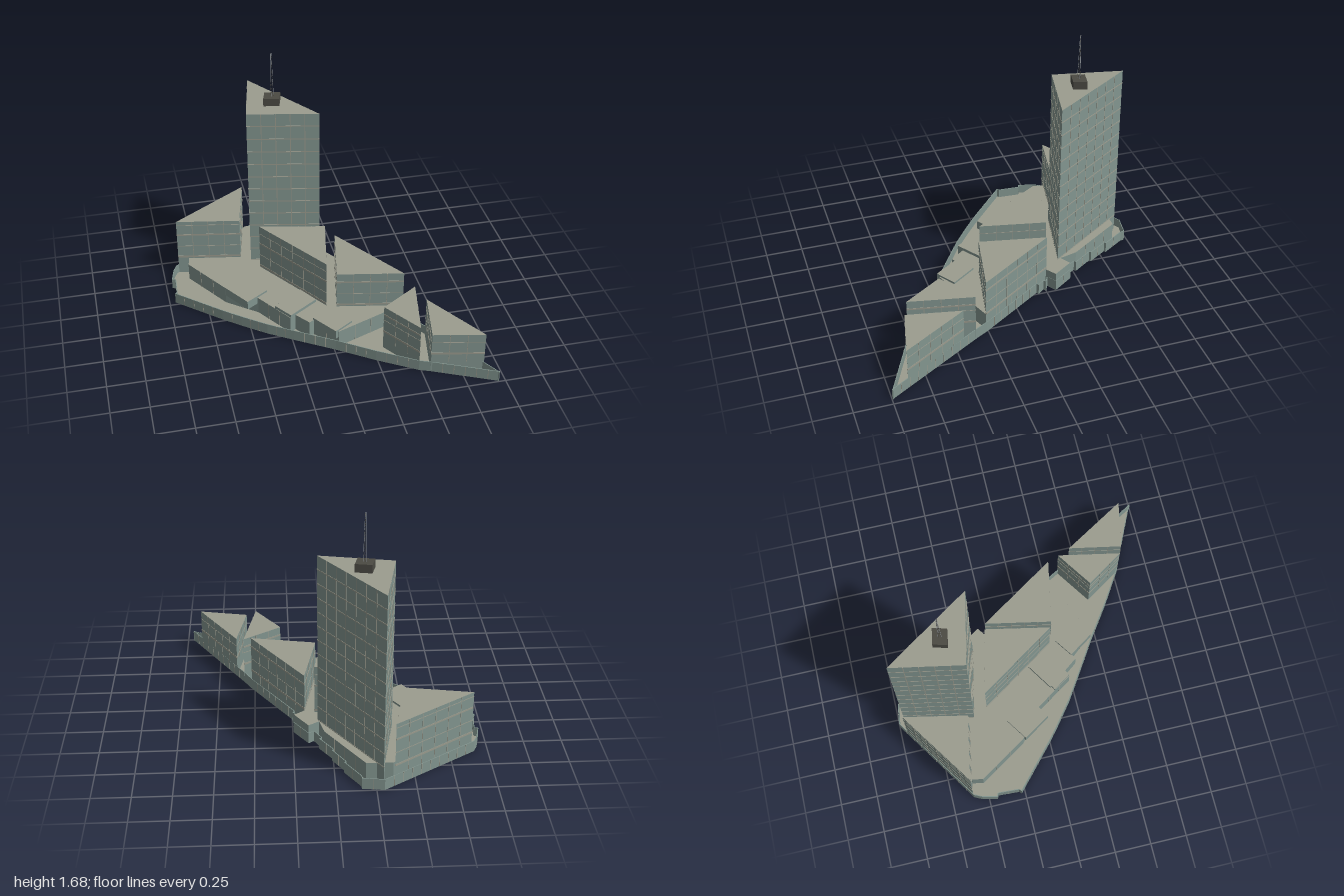
import * as THREE from 'three';
import { mergeGeometries } from 'three/addons/utils/BufferGeometryUtils.js';

export function createModel() {
  const model = new THREE.Group();
  model.name = 'towerComplex';
  const mat = (name, color) => {
    const m = new THREE.MeshStandardMaterial({ color });
    m.name = name;
    return m;
  };
  const concrete = mat('concrete', 0x9b9c8f);
  const glass = mat('glass', 0x82958f);
  const dark = mat('darkMetal', 0x4b4a43);
  const steel = mat('mastSteel', 0x9aa0a6);

  const add = (name, geometry, material) => {
    const mesh = new THREE.Mesh(geometry, material);
    mesh.name = name;
    model.add(mesh);
    return mesh;
  };

  // Plan points are [x, z]; they become counter-clockwise shape points (x, -z).
  const outline = (plan) => {
    const pts = plan.map(([x, z]) => new THREE.Vector2(x, -z));
    return THREE.ShapeUtils.isClockWise(pts) ? pts.reverse() : pts;
  };

  // Vertical block with concrete caps and walls of the given material.
  const prism = (name, plan, y0, y1, walls = glass, caps = concrete) => {
    const geo = new THREE.ExtrudeGeometry(new THREE.Shape(outline(plan)), { depth: y1 - y0, bevelEnabled: false });
    geo.rotateX(-Math.PI / 2).translate(0, y0, 0);
    return add(name, geo, [caps, walls]);
  };

  // Thin panel on the edge a-b, from t0 to t1 along it, with its middle at offset out.
  const panel = (a, b, t0, t1, y0, y1, thick, out) => {
    const length = a.distanceTo(b);
    const g = new THREE.BoxGeometry(t1 - t0, y1 - y0, thick);
    g.translate((t0 + t1) / 2, (y0 + y1) / 2, out);
    g.rotateY(Math.atan2((b.y - a.y) / length, (b.x - a.x) / length));
    return g.translate(a.x, 0, -a.y);
  };

  const eachEdge = (plan, fn) => {
    const pts = outline(plan);
    pts.forEach((a, i) => fn(a, pts[(i + 1) % pts.length]));
  };

  // Facade grid: upright mullions at regular bays and horizontal bands [y, height].
  const facade = (name, plan, y0, y1, bay, bands, w = 0.005) => {
    const parts = [];
    eachEdge(plan, (a, b) => {
      const length = a.distanceTo(b);
      const n = Math.max(1, Math.round(length / bay));
      for (let i = 1; i < n; i++) {
        const t = (i * length) / n;
        parts.push(panel(a, b, t - w / 2, t + w / 2, y0, y1, 0.003, 0.0005));
      }
      for (const [y, h] of bands) parts.push(panel(a, b, 0, length, y - h / 2, y + h / 2, 0.003, 0.0005));
    });
    add(name, mergeGeometries(parts), concrete);
  };

  // Ground slab and its low perimeter wall
  const site = [
    [-0.30, -1.0], [-0.16, -0.98], [-0.155, -0.95], [-0.06, -0.80], [-0.07, -0.79], [0.01, -0.66],
    [0.0, -0.65], [0.085, -0.52], [0.07, -0.51], [0.115, -0.43], [0.15, -0.455], [0.245, -0.315],
    [0.185, -0.275], [0.23, -0.25], [0.215, -0.235], [0.25, -0.19], [0.235, -0.18],
    [0.52, 0.26], [0.57, 0.35], [0.957, 0.995], [0.56, 0.81], [0.487, 0.78], [0.24, 0.625], [0.01, 0.465],
    [-0.24, 0.305], [-0.40, 0.20], [-0.555, 0.08], [-0.67, -0.015], [-0.96, -0.275], [-0.945, -0.29],
    [-0.937, -0.434], [-0.96, -0.444], [-0.937, -0.545], [-0.91, -0.60],
  ];
  prism('groundSlab', site, 0, 0.012);
  const rim = [];
  eachEdge(site, (a, b) => rim.push(panel(a, b, 0, a.distanceTo(b), 0, 0.077, 0.005, -0.0025)));
  add('perimeterWall', mergeGeometries(rim), glass);
  facade('perimeterWallJoints', site, 0.002, 0.077, 0.075, [], 0.004);

  // Raised podium joining the blocks
  const podium = [
    [-0.815, -0.59], [-0.83, -0.515], [-0.62, -0.185], [-0.42, -0.025], [-0.25, 0.235], [-0.21, 0.21],
    [-0.135, 0.31], [-0.10, 0.29], [0.035, 0.445], [0.515, 0.26], [0.17, -0.265], [0.24, -0.315],
    [0.15, -0.45], [0.08, -0.405], [0.05, -0.53], [-0.19, -0.90], [-0.36, -0.90],
  ];
  prism('podium', podium, 0.012, 0.134);
  facade('podiumJoints', podium, 0.012, 0.134, 0.12, [], 0.004);

  // Roof pavilions along the podium edge
  const pavilions = [
    [[[-0.47, -0.265], [-0.35, -0.08], [-0.50, 0.02], [-0.62, -0.165]], 0.148],
    [[[-0.125, -0.03], [-0.045, 0.10], [-0.245, 0.235], [-0.33, 0.11], [-0.30, 0.095], [-0.305, 0.085]], 0.155],
    [[[0.02, 0.20], [0.14, 0.37], [0.01, 0.455], [-0.105, 0.285]], 0.148],
  ];
  pavilions.forEach(([plan, top], i) => prism('pavilion' + (i + 1), plan, 0.085, top));

  // Triangular low blocks: plan and roof height
  const blocks = [
    ['backRightBlock', [[-0.89, -0.605], [-0.455, -0.525], [-0.365, -0.955]], 0.445],
    ['middleBlock', [[-0.34, -0.38], [0.105, -0.285], [0.015, 0.155]], 0.475],
    ['leftBlock', [[0.17, -0.27], [0.08, 0.18], [0.52, 0.265]], 0.40],
    ['frontBlock', [[0.572, 0.35], [0.315, 0.52], [0.487, 0.78]], 0.345],
    ['tipBlock', [[0.625, 0.445], [0.555, 0.81], [0.89, 0.88]], 0.30],
  ];
  for (const [name, plan, top] of blocks) {
    prism(name, plan, 0.012, top);
    const bands = [[0.15, 0.014], [0.24, 0.004]];
    if (top > 0.32) bands.push([top > 0.36 ? 0.335 : 0.285, 0.012]);
    if (top > 0.42) bands.push([0.415, 0.004]);
    facade(name + 'Mullions', plan, 0.08, top, 0.1, bands, 0.004);
  }

  // Triangular main tower with floor lines
  const tower = [[-0.295, -0.955], [0.088, -0.383], [-0.388, -0.48]];
  prism('tower', tower, 0.012, 1.31);
  const floors = [];
  for (let y = 0.135; y < 1.3; y += 0.0985) floors.push([y, 0.007]);
  facade('towerMullions', tower, 0.08, 1.31, 0.1, floors, 0.005);

  // Plant room on the tower roof
  prism('plantRoom', [[-0.23, -0.655], [-0.125, -0.635], [-0.15, -0.545], [-0.255, -0.565]], 1.31, 1.365, dark, dark);

  // Lattice mast: three tapering legs with zigzag braces
  const bar = (p, q, r) => {
    const g = new THREE.CylinderGeometry(r, r, p.distanceTo(q), 4);
    const turn = new THREE.Quaternion().setFromUnitVectors(new THREE.Vector3(0, 1, 0), q.clone().sub(p).normalize());
    const c = p.clone().add(q).multiplyScalar(0.5);
    return g.applyQuaternion(turn).translate(c.x, c.y, c.z);
  };
  const node = (leg, level) => {
    const r = 0.012 - 0.0009 * level;
    const a = (leg * 2 * Math.PI) / 3;
    return new THREE.Vector3(-0.19 + r * Math.cos(a), 1.365 + 0.0315 * level, -0.6 + r * Math.sin(a));
  };
  const legs = [], braces = [];
  for (let leg = 0; leg < 3; leg++) {
    legs.push(bar(node(leg, 0), node(leg, 10), 0.0012));
    for (let i = 0; i < 10; i++) braces.push(bar(node(leg, i), node(leg + 1, i + 1), 0.0009));
  }
  add('mastLegs', mergeGeometries(legs), steel);
  add('mastBraces', mergeGeometries(braces), dark);

  return model;
}
